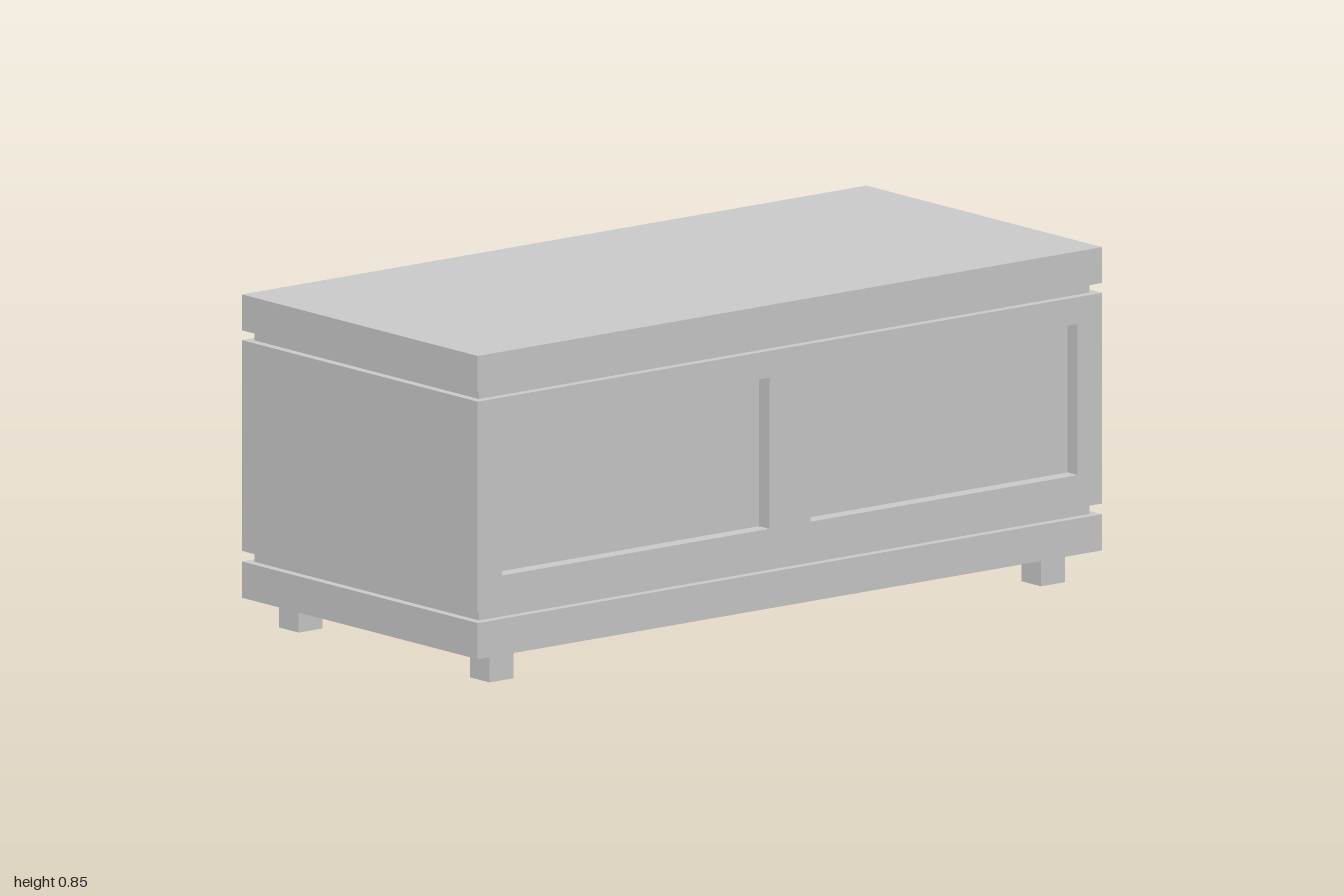
import * as THREE from 'three';

const material = new THREE.MeshStandardMaterial({ color: 0xcccccc, flatShading: true });
const openMaterial = new THREE.MeshStandardMaterial({ color: 0xcccccc, flatShading: true, side: THREE.DoubleSide });

const HALF_W = 1, HALF_D = 0.462, RECESS = 0.04;

// Rectangle outline usable as a shape or a hole
function rect(path, x0, y0, x1, y1) {
  path.moveTo(x0, y0);
  path.lineTo(x1, y0);
  path.lineTo(x1, y1);
  path.lineTo(x0, y1);
  path.closePath();
  return path;
}

export function createModel() {
  const group = new THREE.Group();

  function add(name, geometry, x, y, z, mat = material) {
    const mesh = new THREE.Mesh(geometry, mat);
    mesh.name = name;
    mesh.position.set(x, y, z);
    group.add(mesh);
  }

  // Full-footprint slab between two heights, optionally inset on all sides
  function slab(name, y0, y1, inset = 0) {
    const geometry = new THREE.BoxGeometry(2 * (HALF_W - inset), y1 - y0, 2 * (HALF_D - inset));
    add(name, geometry, 0, (y0 + y1) / 2, 0);
  }

  slab('basePlinth', 0.078, 0.17);
  slab('lowerGroove', 0.17, 0.197, 0.022);
  slab('upperGroove', 0.732, 0.757, 0.022);
  slab('topSlab', 0.757, 0.848);

  // Chest body, with a front frame whose two openings form the recessed panels
  const y0 = 0.197, y1 = 0.732;
  add('body', new THREE.BoxGeometry(2 * HALF_W, y1 - y0, 2 * HALF_D - RECESS), 0, (y0 + y1) / 2, -RECESS / 2);
  const frame = rect(new THREE.Shape(), -HALF_W, y0, HALF_W, y1);
  frame.holes.push(
    rect(new THREE.Path(), -0.922, 0.28, -0.066, 0.664),
    rect(new THREE.Path(), 0.066, 0.28, 0.922, 0.664)
  );
  const frameGeometry = new THREE.ExtrudeGeometry(frame, { depth: RECESS, bevelEnabled: false });
  add('frontFrame', frameGeometry, 0, 0, HALF_D - RECESS);

  // Four hollow square feet
  const radius = 0.077 / Math.SQRT2;
  const foot = new THREE.CylinderGeometry(radius, radius, 0.078, 4, 1, true).rotateY(Math.PI / 4);
  for (const sx of [-1, 1]) {
    for (const sz of [-1, 1]) {
      const name = (sz > 0 ? 'front' : 'back') + (sx > 0 ? 'Left' : 'Right') + 'Foot';
      add(name, foot, sx * 0.883, 0.039, sz * 0.374, openMaterial);
    }
  }

  return group;
}
